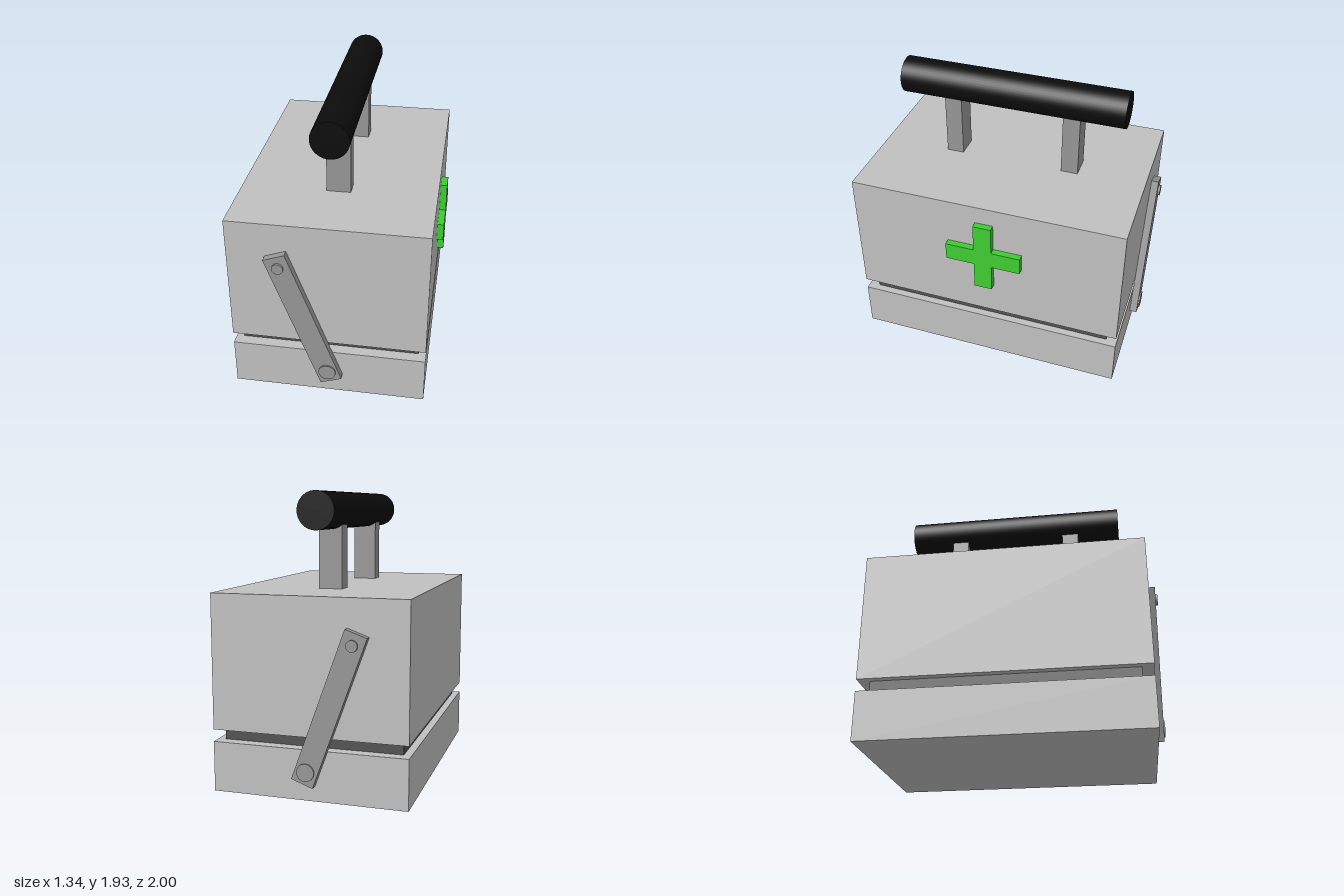
import * as THREE from 'three';

export function createModel() {
  const model = new THREE.Group();
  const material = (name, color) => {
    const m = new THREE.MeshStandardMaterial({ color });
    m.name = name;
    return m;
  };
  const shell = material('light grey', 0xc0c0c0);
  const metal = material('mid grey', 0x969696);
  const seal = material('dark grey', 0x525252);
  const grip = material('black', 0x0c0c0c);
  const green = material('green', 0x3fcc33);

  const add = (name, geometry, mat, x, y, z, parent = model) => {
    const mesh = new THREE.Mesh(geometry, mat);
    mesh.name = name;
    mesh.position.set(x, y, z);
    parent.add(mesh);
    return mesh;
  };
  const box = (w, h, d) => new THREE.BoxGeometry(w, h, d);
  // cylinder lying along z
  const rod = (r, length, sides) => new THREE.CylinderGeometry(r, r, length, sides).rotateX(Math.PI / 2);

  // Case: base, recessed seam and upper body share one centre line
  const cx = -0.025;
  add('base', box(1.29, 0.33, 1.87), shell, cx, 0.165, 0);
  add('seam', box(1.19, 0.12, 1.72), seal, cx, 0.37, 0);
  add('upperBody', box(1.29, 0.885, 1.87), shell, cx, 0.8525, 0);

  // Carrying handle on two posts
  for (const s of [1, -1]) add('handlePost', box(0.16, 0.425, 0.117), metal, cx, 1.5075, s * 0.413);
  add('handleGrip', rod(0.123, 1.54, 48), grip, cx, 1.808, 0);

  // Raised cross on the left side
  const a = 0.062, b = 0.26;
  const outline = [[a, a], [a, b], [-a, b], [-a, a], [-b, a], [-b, -a],
    [-a, -a], [-a, -b], [a, -b], [a, -a], [b, -a], [b, a]];
  const crossShape = new THREE.Shape(outline.map(([x, y]) => new THREE.Vector2(x, y)));
  const crossGeometry = new THREE.ExtrudeGeometry(crossShape, { depth: 0.045, bevelEnabled: false });
  crossGeometry.rotateY(Math.PI / 2);
  add('cross', crossGeometry, green, 0.62, 0.91, 0);

  // Slanted latch arms with a pivot at each end, front and back
  for (const s of [1, -1]) {
    const latch = new THREE.Group();
    latch.name = s > 0 ? 'frontLatch' : 'backLatch';
    model.add(latch);
    const arm = add('latchArm', box(0.149, 1.022, 0.05), metal, -0.175, 0.605, s * 0.96, latch);
    arm.rotation.z = THREE.MathUtils.degToRad(20);
    add('upperPivot', rod(0.037, 0.07, 32), metal, -0.325, 1.01, s * 0.965, latch);
    add('lowerPivot', rod(0.057, 0.06, 32), metal, -0.025, 0.2, s * 0.965, latch);
  }
  return model;
}
